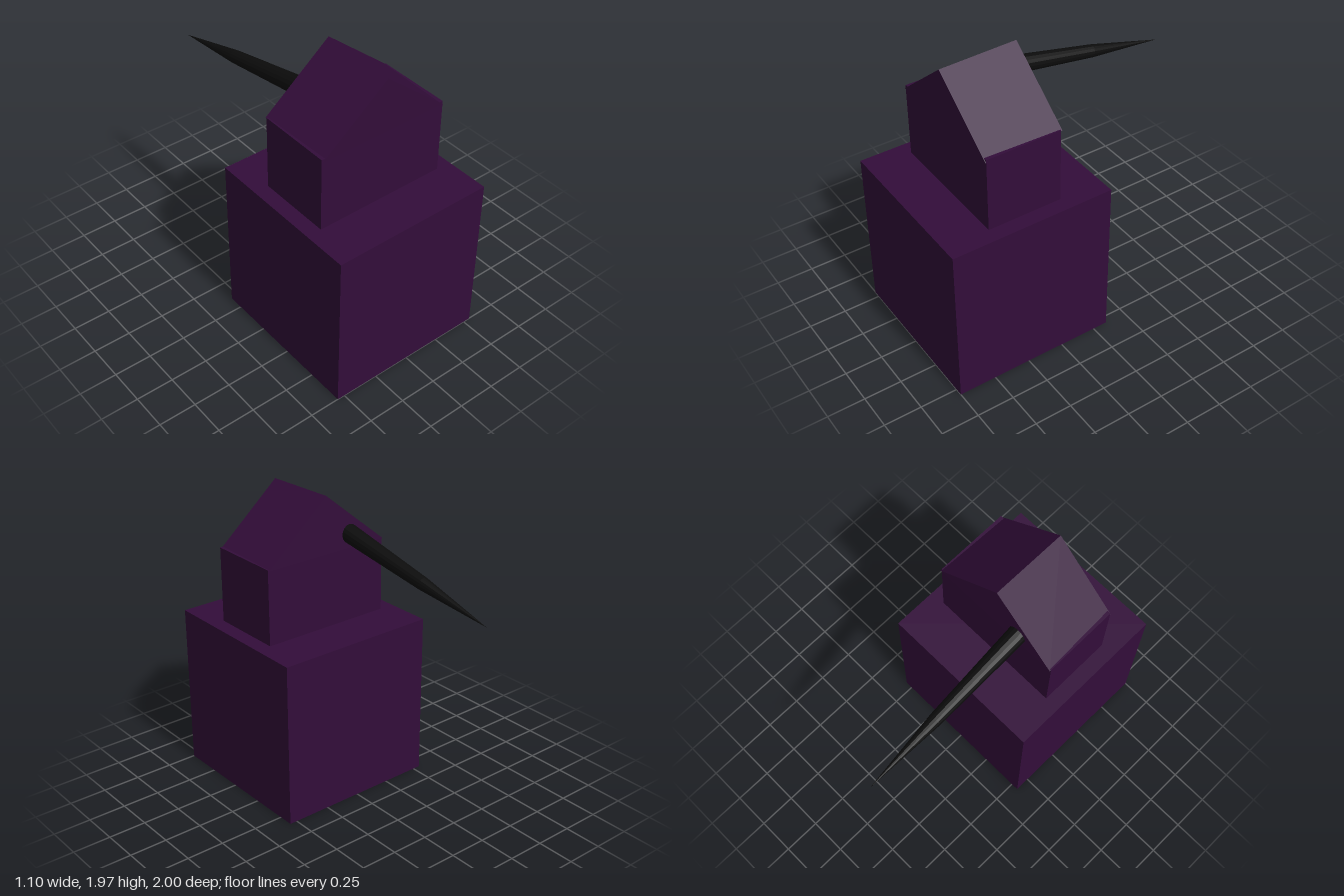
import * as THREE from 'three';

export function createModel() {
  const model = new THREE.Group();
  model.name = 'model';
  const purple = new THREE.MeshStandardMaterial({ color: 0x330d3a });
  const black = new THREE.MeshStandardMaterial({ color: 0x0c0c0c });

  const add = (name, geometry, material, x, y, z) => {
    const mesh = new THREE.Mesh(geometry, material);
    mesh.name = name;
    mesh.position.set(x, y, z);
    model.add(mesh);
    return mesh;
  };

  // Large lower block and smaller upper block
  add('baseBlock', new THREE.BoxGeometry(1.1, 1.1, 1.1), purple, 0, 0.55, 0.45);
  add('upperBlock', new THREE.BoxGeometry(0.9, 0.5, 0.5), purple, 0, 1.35, 0.45);

  // Gabled roof, tipped slightly forward
  const gable = new THREE.Shape([
    new THREE.Vector2(-0.45, 0),
    new THREE.Vector2(0.45, 0),
    new THREE.Vector2(0, 0.375),
  ]);
  const roofGeometry = new THREE.ExtrudeGeometry(gable, { depth: 0.515, bevelEnabled: false });
  const roof = add('roof', roofGeometry, purple, 0, 1.594, 0.19);
  roof.rotation.x = 0.027;

  // Tapering spike that starts inside the roof and points backward
  const start = new THREE.Vector3(-0.18, 1.697, 0.24);
  const tip = new THREE.Vector3(-0.19, 1.46, -1);
  const direction = tip.clone().sub(start);
  const length = direction.length();
  const profile = [[0, 0], [0.062, 0], [0.042, length * 0.575], [0, length]]
    .map(([r, y]) => new THREE.Vector2(r, y));
  const spikeGeometry = new THREE.LatheGeometry(profile, 16).toNonIndexed();
  spikeGeometry.computeVertexNormals();
  const spike = add('spike', spikeGeometry, black, start.x, start.y, start.z);
  spike.quaternion.setFromUnitVectors(new THREE.Vector3(0, 1, 0), direction.normalize());

  return model;
}
